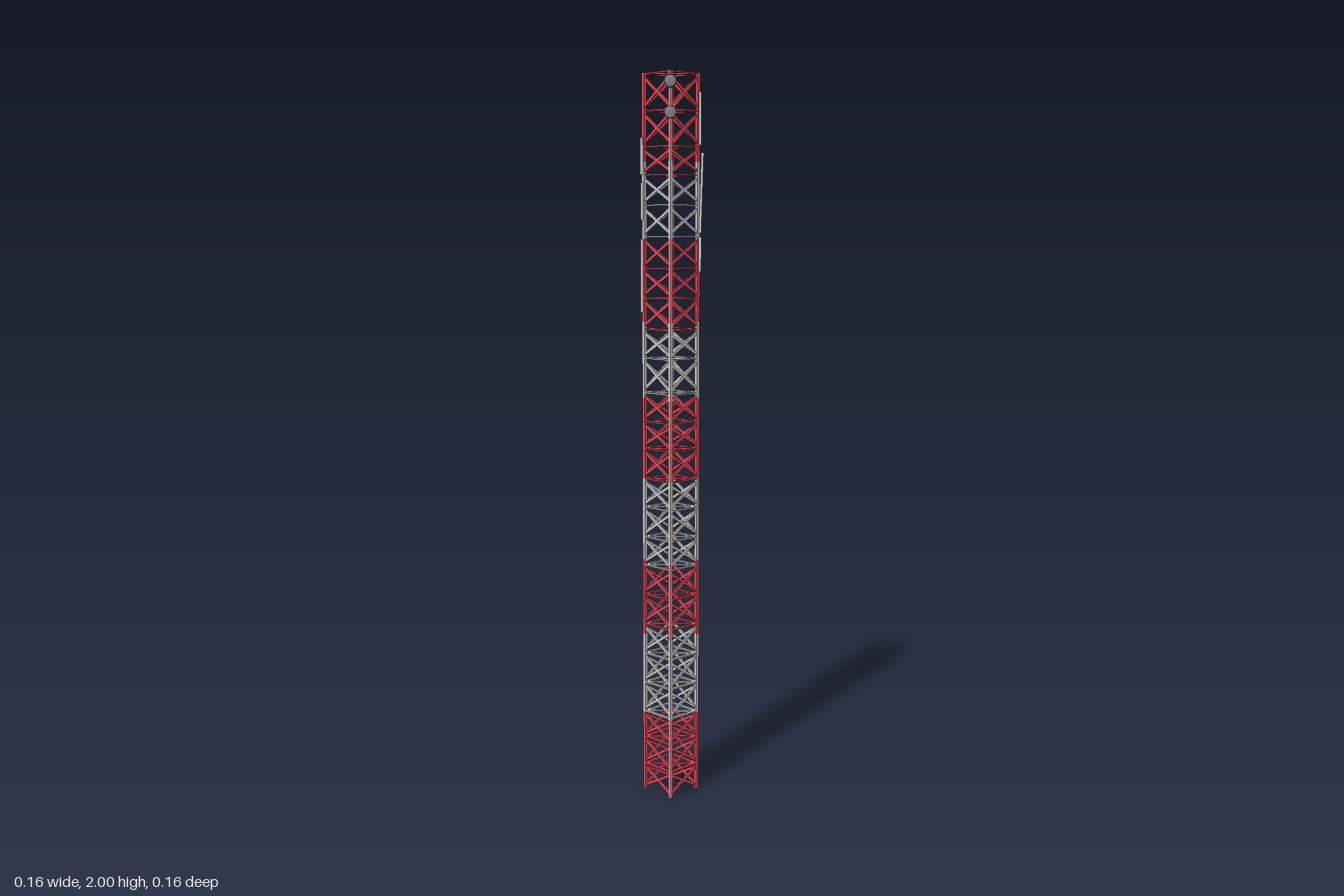
import * as THREE from 'three';

const grey = new THREE.MeshStandardMaterial({ color: 0xcccccc });
const darkGrey = new THREE.MeshStandardMaterial({ color: 0x777777 });
const red = new THREE.MeshStandardMaterial({ color: 0xe8485a });
const R = 0.051; // leg distance from the centre planes
const UP = [0, 1, 0];
const corners = [[1, 1], [1, -1], [-1, -1], [-1, 1]];
const levels = [0, 0.075, 0.155, 0.23, 0.315, 0.4, 0.485, 0.57, 0.655, 0.735, 0.82, 0.9, 0.985,
  1.06, 1.14, 1.235, 1.315, 1.4, 1.48, 1.565, 1.65, 1.73, 1.805, 1.9, 1.997];
const bands = [0, 0.228, 0.456, 0.67, 0.9, 1.125, 1.335, 1.56, 1.765, 2];

// Flat bar between two points; its broad side faces the given normal
function bar(parent, name, a, b, normal, width, thick, material) {
  const p = new THREE.Vector3(...a), q = new THREE.Vector3(...b);
  const along = q.clone().sub(p);
  const mesh = new THREE.Mesh(new THREE.BoxGeometry(width, along.length(), thick), material);
  mesh.name = name;
  along.normalize();
  const out = new THREE.Vector3(...normal);
  const side = along.clone().cross(out);
  mesh.quaternion.setFromRotationMatrix(new THREE.Matrix4().makeBasis(side, along, out));
  mesh.position.copy(p).add(q).multiplyScalar(0.5);
  parent.add(mesh);
}

// Group at a corner whose +z points diagonally outward
function cornerMount(parent, name, sx, sz, y) {
  const g = new THREE.Group();
  g.name = name;
  g.position.set(sx * R, y, sz * R);
  g.rotation.y = Math.atan2(sx, sz);
  parent.add(g);
  return g;
}

// Drum-shaped microwave dish
function dish(parent, sx, sz, y) {
  const g = cornerMount(parent, 'microwaveDish', sx, sz, y);
  const profile = [[0, 0], [0.012, 0], [0.0165, 0.007], [0.0165, 0.021], [0.015, 0.023], [0, 0.023]]
    .map(p => new THREE.Vector2(...p));
  const drum = new THREE.Mesh(new THREE.LatheGeometry(profile, 20), darkGrey);
  drum.name = 'dishDrum';
  drum.rotation.x = Math.PI / 2;
  drum.position.z = 0.001;
  g.add(drum);
}

// Upright panel antenna fixed close against the leg
function panel(parent, sx, sz, low, high, tilt) {
  const g = cornerMount(parent, 'panelAntenna', sx, sz, (low + high) / 2);
  const box = new THREE.Mesh(new THREE.BoxGeometry(0.012, high - low, 0.007), grey);
  box.name = 'antennaPanel';
  box.position.z = tilt ? 0.01 : 0.007;
  box.rotation.x = tilt;
  g.add(box);
}

export function createModel() {
  const tower = new THREE.Group();
  tower.name = 'latticeTower';

  // Painted sections with four legs each
  const sections = [];
  for (let i = 0; i < bands.length - 1; i++) {
    const section = new THREE.Group();
    section.name = 'towerSection';
    sections.push(section);
    tower.add(section);
    for (const [x, z] of corners)
      bar(section, 'leg', [x * R, bands[i], z * R], [x * R, bands[i + 1], z * R], [0, 0, 1], 0.0095, 0.0095, i % 2 ? grey : red);
  }
  const bandAt = y => Math.max(0, bands.findIndex(b => b > y) - 1);

  // Lattice: cross braces on each face, horizontals and plan bracing
  levels.forEach((y, k) => {
    const next = levels[k + 1];
    const i = bandAt(next ? (y + next) / 2 : y);
    const material = i % 2 ? grey : red;
    corners.forEach(([x, z], c) => {
      const [u, w] = corners[(c + 1) % 4];
      const out = [(x + u) / 2, 0, (z + w) / 2];
      if (k > 0) bar(sections[i], 'horizontal', [x * R, y, z * R], [u * R, y, w * R], UP, 0.009, 0.004, material);
      if (next) {
        const low = y + 0.01, high = next - 0.01;
        bar(sections[i], 'crossBrace', [x * R, low, z * R], [u * R, high, w * R], out, 0.0075, 0.005, material);
        bar(sections[i], 'crossBrace', [u * R, low, w * R], [x * R, high, z * R], out, 0.0075, 0.005, material);
      }
    });
    if (k > 0) for (const s of [-1, 1])
      bar(sections[i], 'planBrace', [-R, y, -s * R], [R, y, s * R], UP, 0.009, 0.004, material);
  });

  // Dishes on two opposite corners, with feeder cables running down the legs
  const equipment = new THREE.Group();
  equipment.name = 'equipment';
  tower.add(equipment);
  for (const y of [1.97, 1.89]) dish(equipment, 1, 1, y);
  for (const y of [1.105, 1.03]) dish(equipment, -1, -1, y);
  for (const [s, top] of [[1, 1.97], [-1, 1.105]])
    bar(equipment, 'feederCable', [s * 0.055, 0, s * 0.055], [s * 0.055, top, s * 0.055], [0, 0, 1], 0.004, 0.004, grey);

  // Panel antennas on the other two corners
  panel(equipment, -1, 1, 1.73, 1.83, 0);
  panel(equipment, -1, 1, 1.61, 1.71, 0);
  panel(equipment, -1, 1, 1.36, 1.56, 0);
  panel(equipment, 1, -1, 1.81, 1.95, 0);
  panel(equipment, 1, -1, 1.575, 1.79, 0.03);
  panel(equipment, 1, -1, 1.47, 1.565, 0);
  return tower;
}
